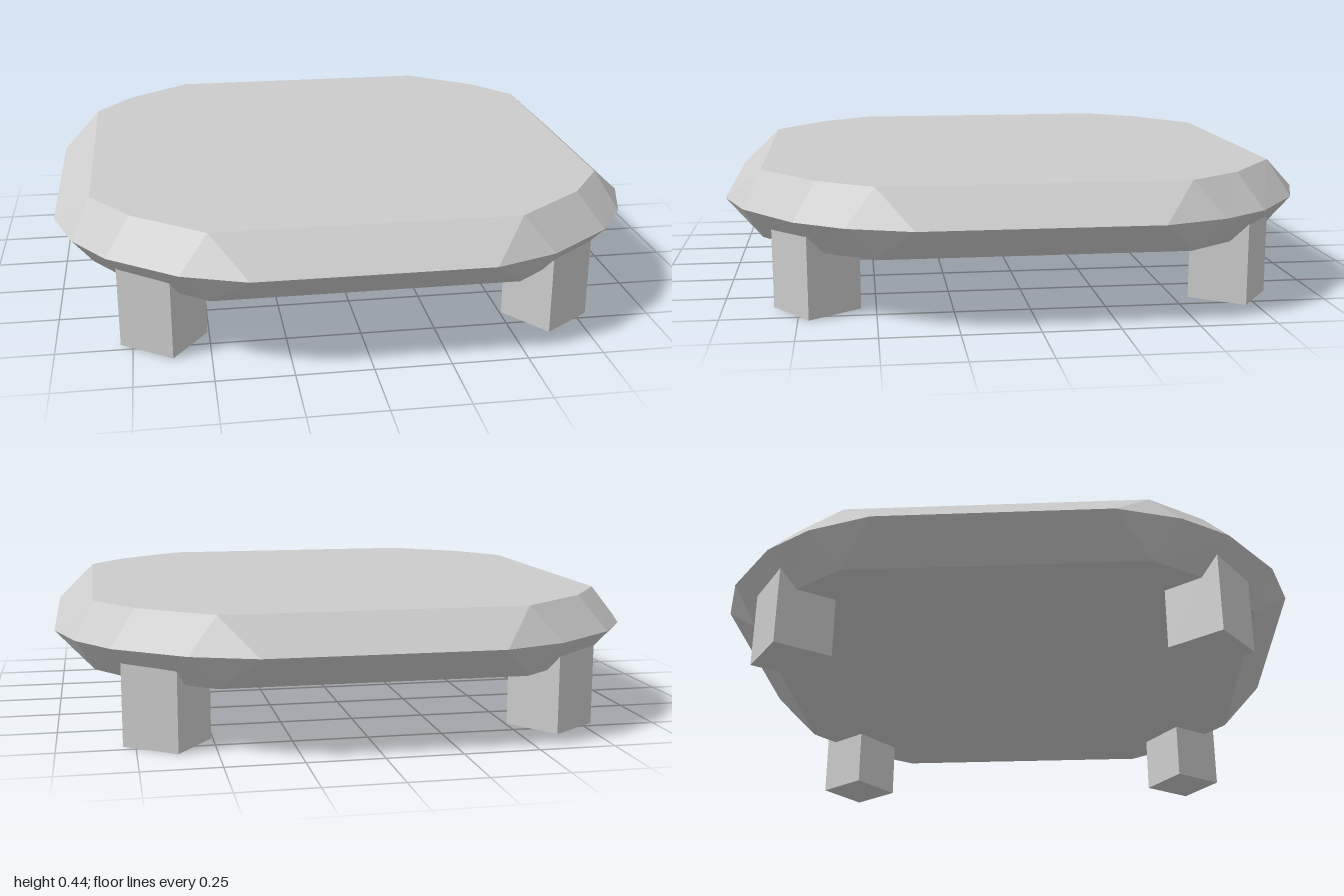
import * as THREE from 'three';

// Mirrors a quarter outline (running from the +z side to the +x side) into a closed loop of [x, z]
function fullOutline(quarter) {
  const back = [...quarter].reverse();
  return [
    ...quarter,
    ...back.map(([x, z]) => [x, -z]),
    ...quarter.map(([x, z]) => [-x, -z]),
    ...back.map(([x, z]) => [-x, z]),
  ];
}

// Faceted slab: narrow top and bottom faces, widest at mid height
function slabGeometry() {
  const rim = fullOutline([[0.385, 1], [0.595, 0.925], [0.82, 0.755], [0.93, 0.595], [1, 0.385]]);
  const face = fullOutline([[0.5, 0.87], [0.5, 0.87], [0.74, 0.685], [0.87, 0.5], [0.87, 0.5]]);
  const rings = [[face, 0.21], [rim, 0.325], [face, 0.44]].map(([loop, y]) =>
    loop.map(([x, z]) => new THREE.Vector3(x, y, z)));
  const positions = [];
  const tri = (a, b, c) => {
    if (a.equals(b) || b.equals(c) || a.equals(c)) return;
    for (const p of [a, b, c]) positions.push(p.x, p.y, p.z);
  };
  const n = rim.length;
  const bottom = new THREE.Vector3(0, 0.21, 0);
  const top = new THREE.Vector3(0, 0.44, 0);
  for (let i = 0; i < n; i++) {
    const j = (i + 1) % n;
    // sloped sides
    for (let r = 0; r < 2; r++) {
      const lo = rings[r], hi = rings[r + 1];
      tri(lo[i], lo[j], hi[j]);
      tri(lo[i], hi[j], hi[i]);
    }
    // flat caps
    tri(top, rings[2][i], rings[2][j]);
    tri(bottom, rings[0][j], rings[0][i]);
  }
  const geometry = new THREE.BufferGeometry();
  geometry.setAttribute('position', new THREE.Float32BufferAttribute(positions, 3));
  geometry.computeVertexNormals();
  return geometry;
}

export function createModel() {
  const model = new THREE.Group();
  model.name = 'lowTable';
  const material = new THREE.MeshStandardMaterial({ color: 0xcccccc, flatShading: true });

  const slab = new THREE.Mesh(slabGeometry(), material);
  slab.name = 'tableTop';
  model.add(slab);

  // Four square legs, turned to face the corners and sunk into the slab
  const height = 0.33;
  const legGeometry = new THREE.BoxGeometry(0.205, height, 0.203);
  for (const sx of [1, -1]) {
    for (const sz of [1, -1]) {
      const leg = new THREE.Mesh(legGeometry, material);
      leg.name = (sz > 0 ? 'front' : 'back') + (sx > 0 ? 'Left' : 'Right') + 'Leg';
      leg.position.set(sx * 0.648, height / 2, sz * 0.692);
      leg.rotation.y = sx * sz * 0.615;
      model.add(leg);
    }
  }
  return model;
}
